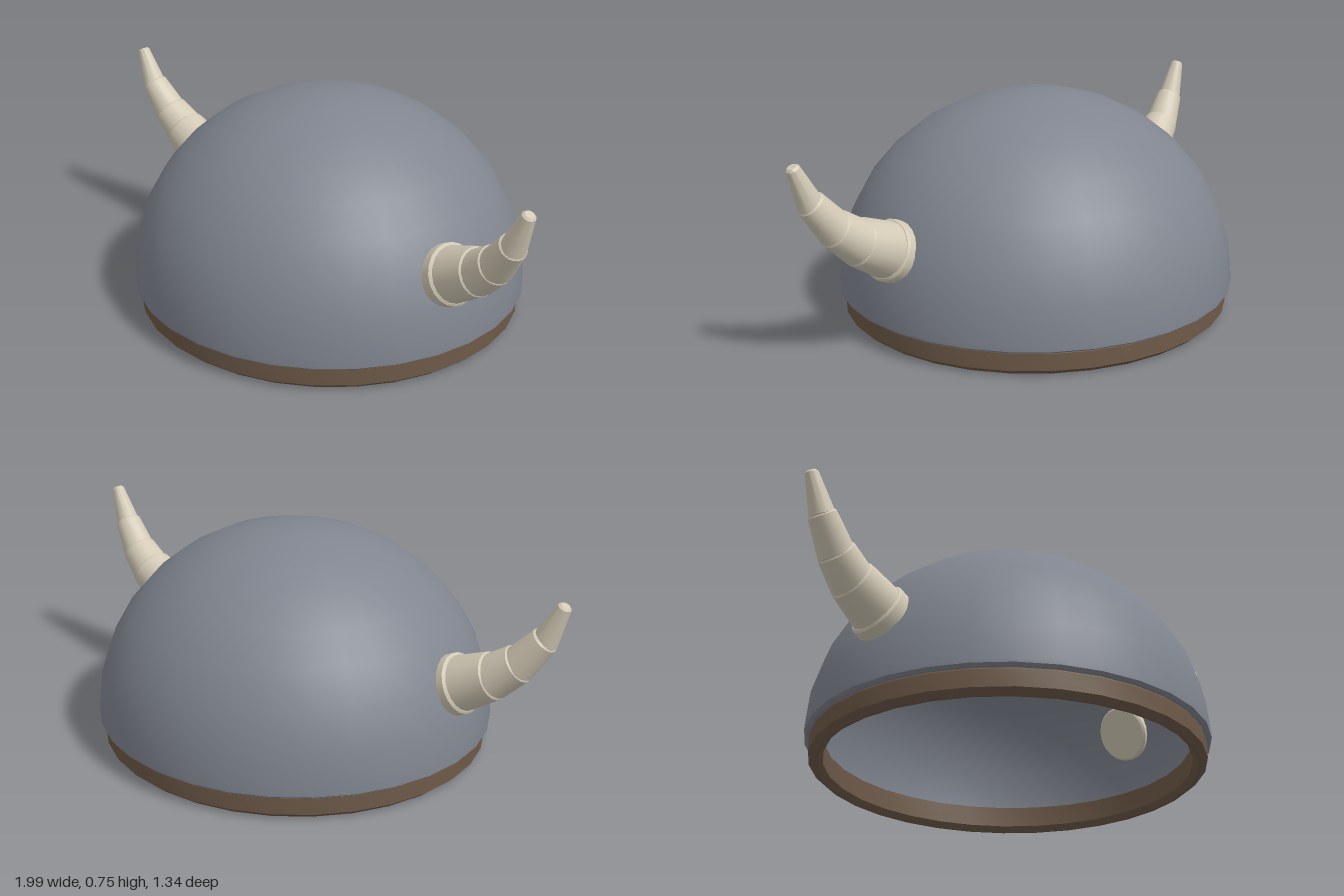
import * as THREE from 'three';
import { toCreasedNormals } from 'three/addons/utils/BufferGeometryUtils.js';

const mat = (name, color) => {
  const m = new THREE.MeshStandardMaterial({ color });
  m.name = name;
  return m;
};

// Turned part from [radius, height] pairs, with hard edges kept sharp
function turned(name, points, sides, material) {
  const lathe = new THREE.LatheGeometry(points.map(([r, y]) => new THREE.Vector2(r, y)), sides);
  const mesh = new THREE.Mesh(toCreasedNormals(lathe, Math.PI / 7), material);
  mesh.name = name;
  return mesh;
}

// Quarter-ellipse profile; t runs from the rim (0) to the crown (1)
function arc(radius, height, base, steps = 8) {
  return Array.from({ length: steps + 1 }, (_, i) => {
    const a = (i / steps) * Math.PI / 2;
    return [i === steps ? 0 : radius * Math.cos(a), base + height * Math.sin(a)];
  });
}

// Tapered, slightly bevelled horn section between two points
function section(name, a, b, r0, r1, material) {
  const dir = b.clone().sub(a);
  const len = dir.length();
  const bevel = 0.007;
  const mesh = turned(name, [
    [0, 0], [r0 - bevel, 0], [r0, bevel], [r1, len - bevel], [r1 - bevel, len], [0, len],
  ], 20, material);
  mesh.position.copy(a);
  mesh.quaternion.setFromUnitVectors(new THREE.Vector3(0, 1, 0), dir.normalize());
  return mesh;
}

export function createModel() {
  const steel = mat('steel', 0x80858f);
  const leather = mat('leather', 0x6e5a48);
  const bone = mat('bone', 0xd3cab6);
  const model = new THREE.Group();
  model.name = 'hornedHelmet';

  // Hollow dome: inner surface down, across the rim, outer surface up
  const dome = turned('dome', [
    ...arc(0.625, 0.605, 0.1).reverse(),
    [0.625, 0.08], [0.66, 0.08], [0.67, 0.088],
    ...arc(0.67, 0.645, 0.1),
  ], 32, steel);

  // Bevelled band around the opening
  const band = turned('brimBand', [
    [0.605, 0.09], [0.605, 0.018], [0.622, 0], [0.632, 0],
    [0.653, 0.018], [0.653, 0.075], [0.645, 0.09], [0.605, 0.09],
  ], 32, leather);

  // Both are slightly wider than deep
  for (const part of [dome, band]) {
    part.scale.x = 1.022;
    model.add(part);
  }

  // Horns: a socket collar and four tapering sections curving upward
  const joints = [
    [0.645, 0.335, 0.053], [0.77, 0.398, 0.06], [0.847, 0.458, 0.073],
    [0.922, 0.552, 0.09], [0.976, 0.672, 0.095],
  ];
  const radii = [[0.092, 0.078], [0.074, 0.063], [0.06, 0.046], [0.042, 0.022]];
  for (const side of [1, -1]) {
    const horn = new THREE.Group();
    horn.name = side > 0 ? 'leftHorn' : 'rightHorn';
    const at = ([x, y, z]) => new THREE.Vector3(side * x, y, z);
    horn.add(section('hornCollar', at([0.56, 0.295, 0.05]), at([0.66, 0.343, 0.053]), 0.1, 0.1, bone));
    radii.forEach(([r0, r1], i) => {
      const a = at(joints[i]);
      const b = at(joints[i + 1]);
      // Sink each section a little into the one below it
      if (i > 0) a.addScaledVector(b.clone().sub(a).normalize(), -0.018);
      horn.add(section('hornSection' + (i + 1), a, b, r0, r1, bone));
    });
    model.add(horn);
  }
  return model;
}
